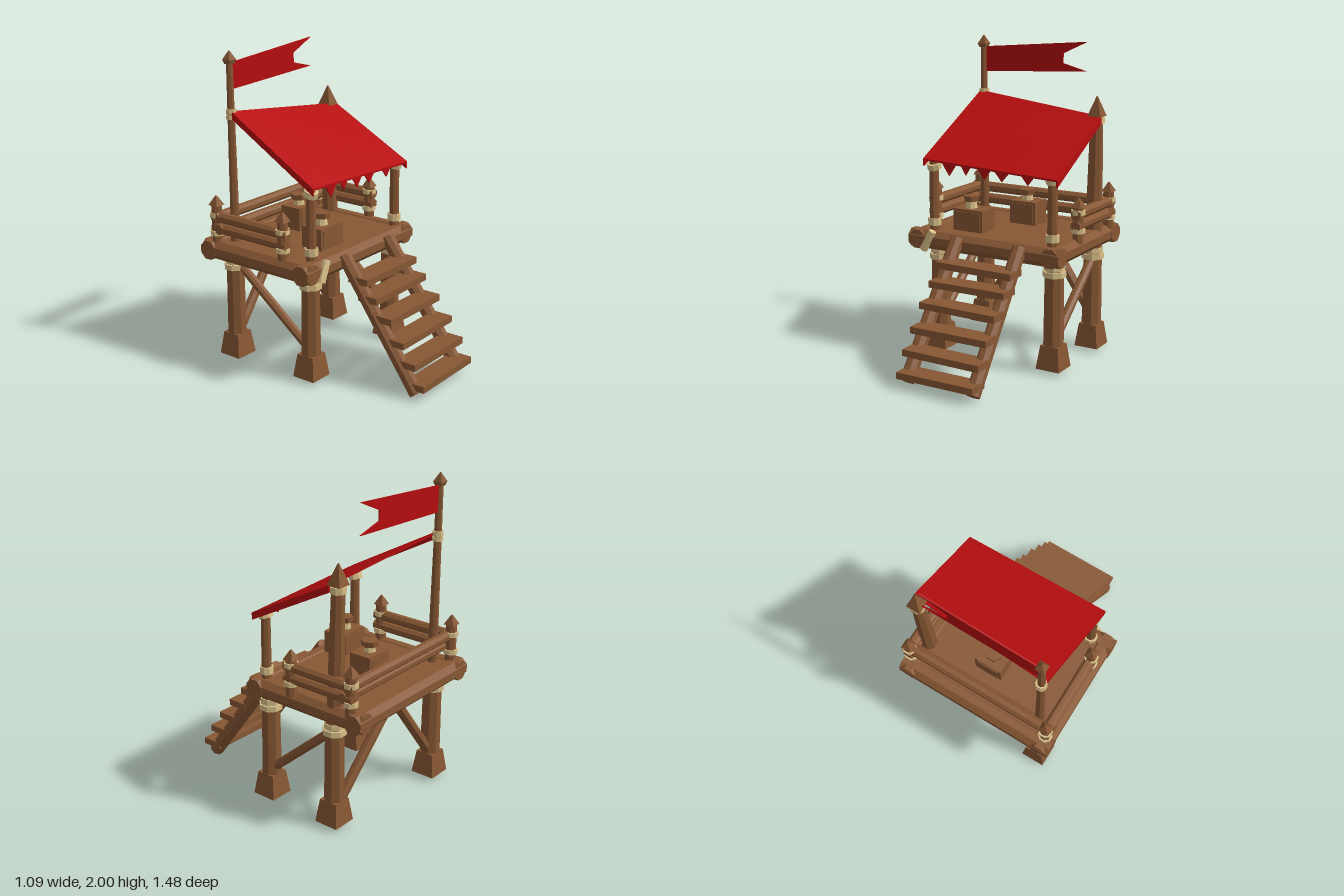
import * as THREE from 'three';

const wood = new THREE.MeshStandardMaterial({ color: 0x875733 });
wood.name = 'wood';
const rope = new THREE.MeshStandardMaterial({ color: 0xd8bf88 });
rope.name = 'rope';
const cloth = new THREE.MeshStandardMaterial({ color: 0xb50d0e });
cloth.name = 'red cloth';

export function createModel() {
  const model = new THREE.Group();
  model.name = 'watchtower';

  // Adds a mesh with faceted normals
  function add(name, geometry, material, parent = model) {
    const flat = geometry.index ? geometry.toNonIndexed() : geometry;
    flat.computeVertexNormals();
    const mesh = new THREE.Mesh(flat, material);
    mesh.name = name;
    parent.add(mesh);
    return mesh;
  }

  // Log between two points
  function beam(name, from, to, r0, r1 = r0, sides = 8, material = wood) {
    const a = new THREE.Vector3(...from), b = new THREE.Vector3(...to);
    const dir = b.clone().sub(a);
    const geo = new THREE.CylinderGeometry(r1, r0, dir.length(), sides).rotateY(Math.PI / sides);
    const mesh = add(name, geo, material);
    mesh.position.copy(a).add(b).multiplyScalar(0.5);
    mesh.quaternion.setFromUnitVectors(new THREE.Vector3(0, 1, 0), dir.normalize());
    return mesh;
  }

  // Square block with half widths at bottom and top
  function block(name, x, z, y0, y1, w0, w1, material = wood) {
    const geo = new THREE.CylinderGeometry(w1 * Math.SQRT2, w0 * Math.SQRT2, y1 - y0, 4).rotateY(Math.PI / 4);
    const mesh = add(name, geo, material);
    mesh.position.set(x, (y0 + y1) / 2, z);
    return mesh;
  }

  function box(name, x, y, z, w, h, d, material = wood) {
    const mesh = add(name, new THREE.BoxGeometry(w, h, d), material);
    mesh.position.set(x, y, z);
    return mesh;
  }

  const band = (x, y, z, r, h = 0.035) =>
    beam('ropeBand', [x, y - h / 2, z], [x, y + h / 2, z], r, r, 8, rope);

  // Legs with feet and double lashings
  const legs = [[-0.375, 0.01], [0.45, 0.01], [0.46, -0.495], [-0.4, -0.585]];
  for (const [x, z] of legs) {
    block('foot', x, z, 0.03, 0.18, 0.08, 0.06);
    beam('leg', [x, 0.12, z], [x, 0.72, z], 0.064, 0.058);
    band(x, 0.632, z, 0.073);
    band(x, 0.672, z, 0.066);
  }

  // Diagonal braces: inverted V at the back, one on each side
  beam('backBrace', [-0.37, 0.2, -0.58], [0.03, 0.7, -0.6], 0.032);
  beam('backBrace', [0.45, 0.2, -0.54], [0.07, 0.7, -0.6], 0.032);
  beam('sideBrace', [0.455, 0.24, -0.04], [0.465, 0.64, -0.5], 0.03);
  beam('sideBrace', [-0.38, 0.24, -0.04], [-0.4, 0.66, -0.56], 0.03);

  // Platform with a rim of logs
  box('floor', -0.005, 0.748, -0.305, 0.98, 0.104, 0.78);
  for (const z of [-0.68, 0.07]) beam('rimLog', [-0.545, 0.75, z], [0.535, 0.75, z], 0.064);
  for (const x of [-0.482, 0.472]) beam('rimLog', [x, 0.75, -0.735], [x, 0.75, 0.125], 0.064);

  // Ladder stringers and treads
  for (const [xTop, xBottom] of [[-0.18, -0.187], [0.265, 0.275]])
    beam('stringer', [xBottom, 0.03, 0.67], [xTop, 0.79, 0.115], 0.046);
  const treads = [[0.66, 0.315], [0.56, 0.39], [0.45, 0.495], [0.325, 0.59], [0.205, 0.675], [0.085, 0.74]];
  treads.forEach(([y, zEnd], i) => {
    box('tread', 0.05, y, zEnd - 0.07, 0.53, 0.042, 0.14).rotation.z = (i % 2 ? 1 : -1) * 0.006;
  });

  // Railing posts with pointed caps
  const railPosts = [[-0.485, -0.65, 1.1], [0.495, -0.64, 1.09], [-0.485, -0.11, 1.1], [0.5, -0.2, 1.07]];
  for (const [x, z, top] of railPosts) {
    beam('railPost', [x, 0.78, z], [x, top - 0.06, z], 0.035);
    block('railPostCap', x, z, top - 0.06, top, 0.035, 0.004);
    band(x, 0.862, z, 0.045, 0.03);
    band(x, 0.978, z, 0.045, 0.03);
  }

  // Rails
  for (const [y, zBack] of [[0.893, -0.605], [0.965, -0.635]]) {
    beam('backRail', [-0.52, y, zBack], [0.53, y, zBack], 0.034);
    beam('sideRail', [-0.485, y, -0.67], [-0.485, y, -0.07], 0.034);
    beam('sideRail', [0.5, y, -0.67], [0.5, y, -0.16], 0.034);
  }

  // Front roof posts
  for (const [x, top] of [[-0.4, 1.25], [0.45, 1.245]]) {
    beam('frontPost', [x, 0.78, 0.04], [x, top, 0.04], 0.033, 0.03);
    band(x, 0.86, 0.04, 0.043, 0.045);
    band(x, top - 0.03, 0.04, 0.046, 0.038).rotation.x = 0.3;
  }

  // Tall back post
  beam('backPost', [0.46, 0.7, -0.5], [0.46, 1.54, -0.515], 0.056, 0.04);
  block('backPostCap', 0.46, -0.515, 1.53, 1.655, 0.046, 0.003);
  band(0.46, 1.505, -0.515, 0.05, 0.04);

  // Flagpole
  beam('flagpole', [-0.4, 0.7, -0.575], [-0.408, 1.94, -0.575], 0.032, 0.021);
  block('flagpoleCollar', -0.408, -0.575, 1.92, 1.945, 0.022, 0.03);
  block('flagpoleCap', -0.408, -0.575, 1.945, 2, 0.03, 0.002);
  band(-0.405, 1.63, -0.575, 0.034, 0.03);
  band(-0.405, 1.595, -0.575, 0.034, 0.025);

  // Sloped canopy; u runs across, v from back to front
  const corners = {
    backLeft: new THREE.Vector3(-0.425, 1.635, -0.56), backRight: new THREE.Vector3(0.508, 1.535, -0.485),
    frontLeft: new THREE.Vector3(-0.447, 1.27, 0.095), frontRight: new THREE.Vector3(0.51, 1.228, 0.095),
  };
  function canopyPart(name, u0, u1, low, high) {
    const geo = new THREE.BoxGeometry(1, 1, 1, 6, 1, 6);
    const p = geo.attributes.position;
    for (let i = 0; i < p.count; i++) {
      const u = u0 + (p.getX(i) + 0.5) * (u1 - u0), v = p.getZ(i) + 0.5;
      const back = corners.backLeft.clone().lerp(corners.backRight, u);
      const point = back.lerp(corners.frontLeft.clone().lerp(corners.frontRight, u), v);
      p.setXYZ(i, point.x, point.y + (p.getY(i) > 0 ? high : low), point.z);
    }
    add(name, geo, cloth);
  }
  canopyPart('canopy', 0, 1, -0.012, 0);
  canopyPart('canopyHem', 0, 0.012, -0.045, -0.006);
  canopyPart('canopyHem', 0.988, 1, -0.045, -0.006);

  // Thin cloth cut from an outline
  function clothShape(name, points, z) {
    const shape = new THREE.Shape(points.map(([x, y]) => new THREE.Vector2(x, y)));
    const mesh = add(name, new THREE.ExtrudeGeometry(shape, { depth: 0.009, bevelEnabled: false }), cloth);
    mesh.position.z = z;
    return mesh;
  }
  clothShape('flag', [[-0.405, 1.762], [0.355, 1.797], [0.185, 1.842], [0.185, 1.905], [0.355, 1.984], [-0.405, 1.925]], -0.582);
  for (const [a, b, tip] of [[-0.31, -0.21, 1.175], [-0.17, -0.105, 1.19], [-0.05, 0.04, 1.175], [0.07, 0.17, 1.175], [0.255, 0.345, 1.172]]) {
    const y = 1.25 - (a + 0.4) * 0.035;
    clothShape('fringe', [[a, y], [(a + b) / 2, tip], [b, y]], 0.075);
  }

  // Crates with a tied bundle on top
  for (const [x, z, w, h, lidX, lidZ] of [[-0.168, -0.06, 0.215, 0.14, -0.182, -0.055], [0.03, -0.41, 0.185, 0.15, 0.025, -0.41]]) {
    box('crate', x, 0.815 + h / 2, z, w, h, 0.15);
    box('cratePanel', x, 0.815 + h / 2, z, w - 0.04, h - 0.03, 0.162);
    beam('bundleNeck', [lidX, 0.95, lidZ], [lidX, 1.005, lidZ], 0.04, 0.032, 8, rope);
    beam('bundleTop', [lidX, 1.0, lidZ], [lidX, 1.035, lidZ], 0.05, 0.054, 6);
  }

  // Rope roll hanging on the front rim
  beam('ropeRoll', [-0.425, 0.69, 0.135], [-0.36, 0.815, 0.125], 0.025, 0.025, 8, rope);

  return model;
}
